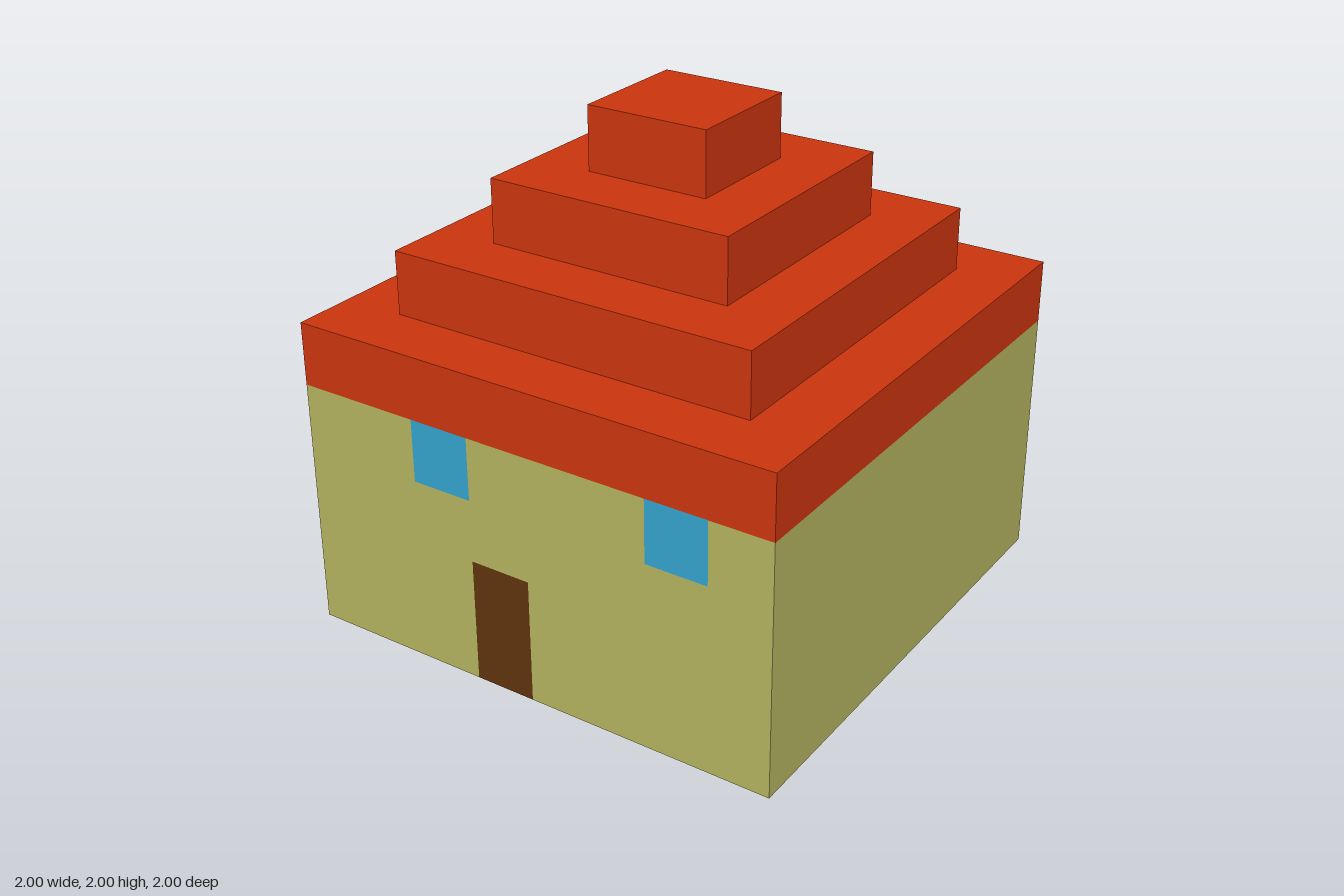
import * as THREE from 'three';

const U = 0.25; // block size: wall thickness and roof step

const mat = (name, color) => {
  const m = new THREE.MeshStandardMaterial({ color });
  m.name = name;
  return m;
};

export function createModel() {
  const wallMat = mat('olive wall', 0xb2b25f);
  const roofMat = mat('red roof', 0xca340e);
  const doorMat = mat('brown door', 0x5e330e);
  const glassMat = mat('blue window', 0x35a2cc);

  const house = new THREE.Group();
  house.name = 'house';

  const add = (name, geometry, material, x, y, z) => {
    const mesh = new THREE.Mesh(geometry, material);
    mesh.name = name;
    mesh.position.set(x, y, z);
    house.add(mesh);
  };
  const box = (name, material, w, h, d, x, y, z) =>
    add(name, new THREE.BoxGeometry(w, h, d), material, x, y, z);

  // Front wall, with notches for the door and the two windows
  const outline = [
    [-1, 0], [-0.25, 0], [-0.25, 0.5], [0, 0.5], [0, 0], [1, 0],
    [1, 1], [0.75, 1], [0.75, 0.75], [0.5, 0.75], [0.5, 1],
    [-0.25, 1], [-0.25, 0.75], [-0.5, 0.75], [-0.5, 1], [-1, 1],
  ].map(([x, y]) => new THREE.Vector2(x, y));
  const front = new THREE.ExtrudeGeometry(new THREE.Shape(outline), { depth: U, bevelEnabled: false });
  add('frontWall', front, wallMat, 0, 0, 1 - U);

  // Back and side walls around the hollow room
  box('backWall', wallMat, 2, 1, U, 0, 0.5, -1 + U / 2);
  for (const [name, side] of [['leftWall', 1], ['rightWall', -1]]) {
    box(name, wallMat, U, 1, 2 - 2 * U, side * (1 - U / 2), 0.5, 0);
  }

  // Door and windows fill the full wall thickness
  const zFront = 1 - U / 2;
  box('door', doorMat, U, 2 * U, U, -0.125, 0.25, zFront);
  box('leftWindow', glassMat, U, U, U, 0.625, 0.875, zFront);
  box('rightWindow', glassMat, U, U, U, -0.375, 0.875, zFront);

  // Stepped roof
  for (let i = 0; i < 4; i++) {
    const w = 2 - 2 * U * i;
    box(`roofStep${i + 1}`, roofMat, w, U, w, 0, 1 + U * (i + 0.5), 0);
  }

  return house;
}
